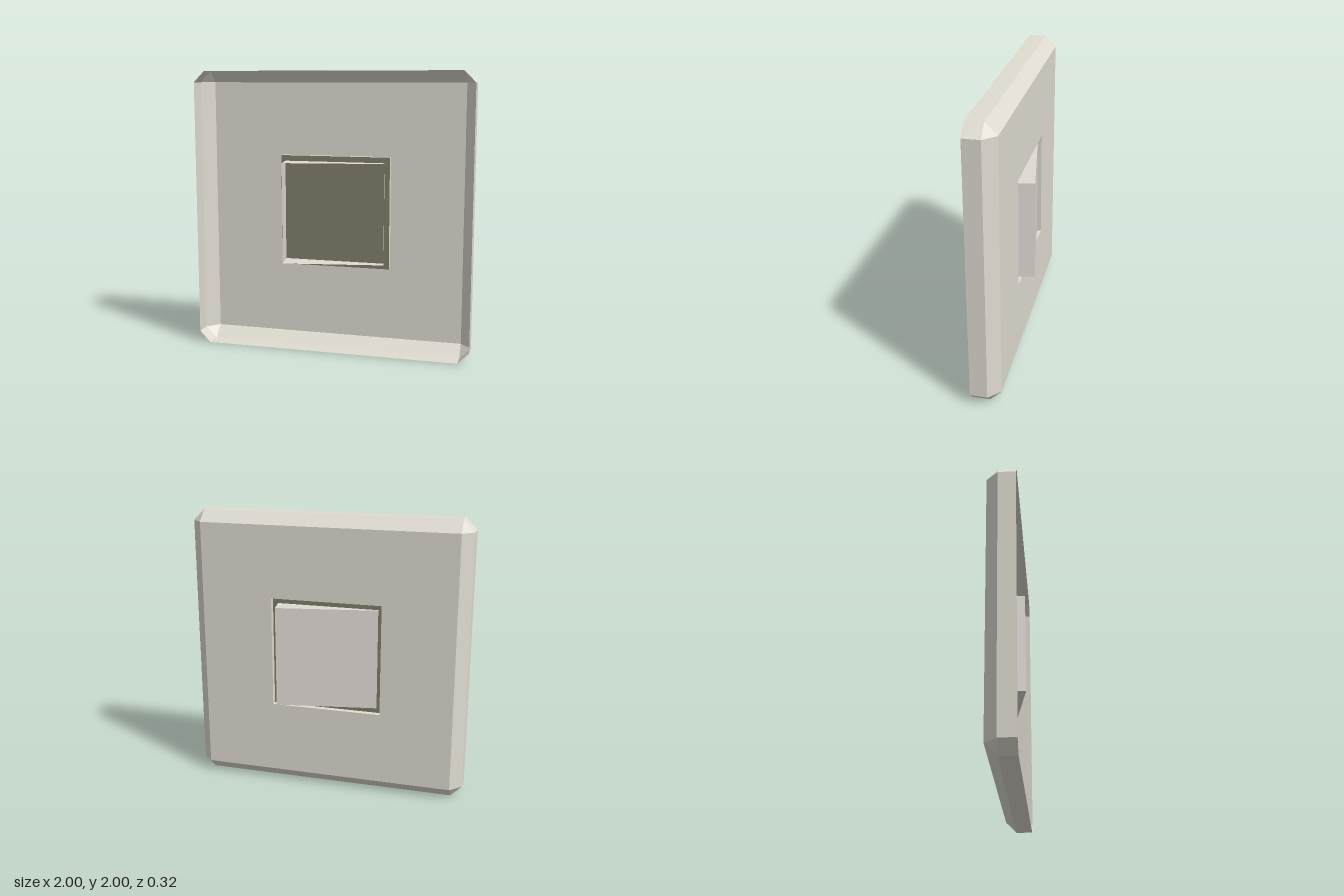
import * as THREE from 'three';

const ivory = new THREE.MeshStandardMaterial({ name: 'ivory plate', color: 0xe0dcd2, side: THREE.DoubleSide });
const warmIvory = new THREE.MeshStandardMaterial({ name: 'warm ivory rocker', color: 0xe0dad3, side: THREE.DoubleSide });
const olive = new THREE.MeshStandardMaterial({ name: 'dark olive', color: 0x807f6b, side: THREE.DoubleSide });

// Corner loop of a square of half-width h, at depth z
const square = (h, z) => [[h, -h, z], [h, h, z], [-h, h, z], [-h, -h, z]];

// Square with cut corners, two points per corner
const octagon = (h, c, z) => square(h, z).flatMap(([x, y]) => {
  const alongX = [x - Math.sign(x) * c, y, z];
  const alongY = [x, y - Math.sign(y) * c, z];
  return x * y < 0 ? [alongX, alongY] : [alongY, alongX];
});

// Flat-faced skin joining loops from front to back
function skin(loops) {
  const pos = [];
  const same = (p, q) => p.every((v, k) => v === q[k]);
  for (let l = 0; l < loops.length - 1; l++) {
    const a = loops[l], b = loops[l + 1], n = a.length;
    for (let i = 0; i < n; i++) {
      const j = (i + 1) % n;
      if (!same(b[i], b[j])) pos.push(...a[i], ...b[i], ...b[j]);
      pos.push(...a[i], ...b[j], ...a[j]);
    }
  }
  const g = new THREE.BufferGeometry();
  g.setAttribute('position', new THREE.Float32BufferAttribute(pos, 3));
  g.computeVertexNormals();
  return g;
}

function add(parent, name, geometry, material) {
  const mesh = new THREE.Mesh(geometry, material);
  mesh.name = name;
  parent.add(mesh);
  return mesh;
}

export function createModel() {
  const model = new THREE.Group();
  model.name = 'rockerSwitch';
  const body = new THREE.Group();
  body.name = 'switchBody';
  body.position.y = 1;
  model.add(body);

  const faceZ = -0.06, half = 1, bevel = 0.08, openHalf = 0.4, recessZ = -0.02;

  // Hollow plate: straight rim and bevel, open towards +z
  const inner = square(half - bevel, faceZ).flatMap((p) => [p, p]);
  add(body, 'plateRim', skin([
    octagon(half, bevel, 0.14), octagon(half, bevel, faceZ + bevel), inner,
  ]), ivory);

  // Plate face with the square opening
  const toPoints = (h) => square(h, 0).map(([x, y]) => new THREE.Vector2(x, y));
  const faceShape = new THREE.Shape(toPoints(half - bevel));
  faceShape.holes.push(new THREE.Path(toPoints(openHalf).reverse()));
  const face = add(body, 'plateFace', new THREE.ShapeGeometry(faceShape), ivory);
  face.rotation.y = Math.PI;
  face.position.z = faceZ;

  // Shallow recess behind the opening
  add(body, 'recessWalls', skin([square(openHalf, recessZ), square(openHalf, faceZ)]), ivory);
  add(body, 'recessFloor', new THREE.PlaneGeometry(openHalf * 2, openHalf * 2), olive).position.z = recessZ;

  // Tilted rocker, a box open towards +z
  const rocker = new THREE.Group();
  rocker.name = 'rocker';
  rocker.rotation.y = THREE.MathUtils.degToRad(10);
  body.add(rocker);
  add(rocker, 'rockerSides', skin([square(0.36, 0.1), square(0.36, -0.1)]), warmIvory);
  const pad = add(rocker, 'rockerFace', new THREE.PlaneGeometry(0.72, 0.72), warmIvory);
  pad.rotation.y = Math.PI;
  pad.position.z = -0.1;

  return model;
}
